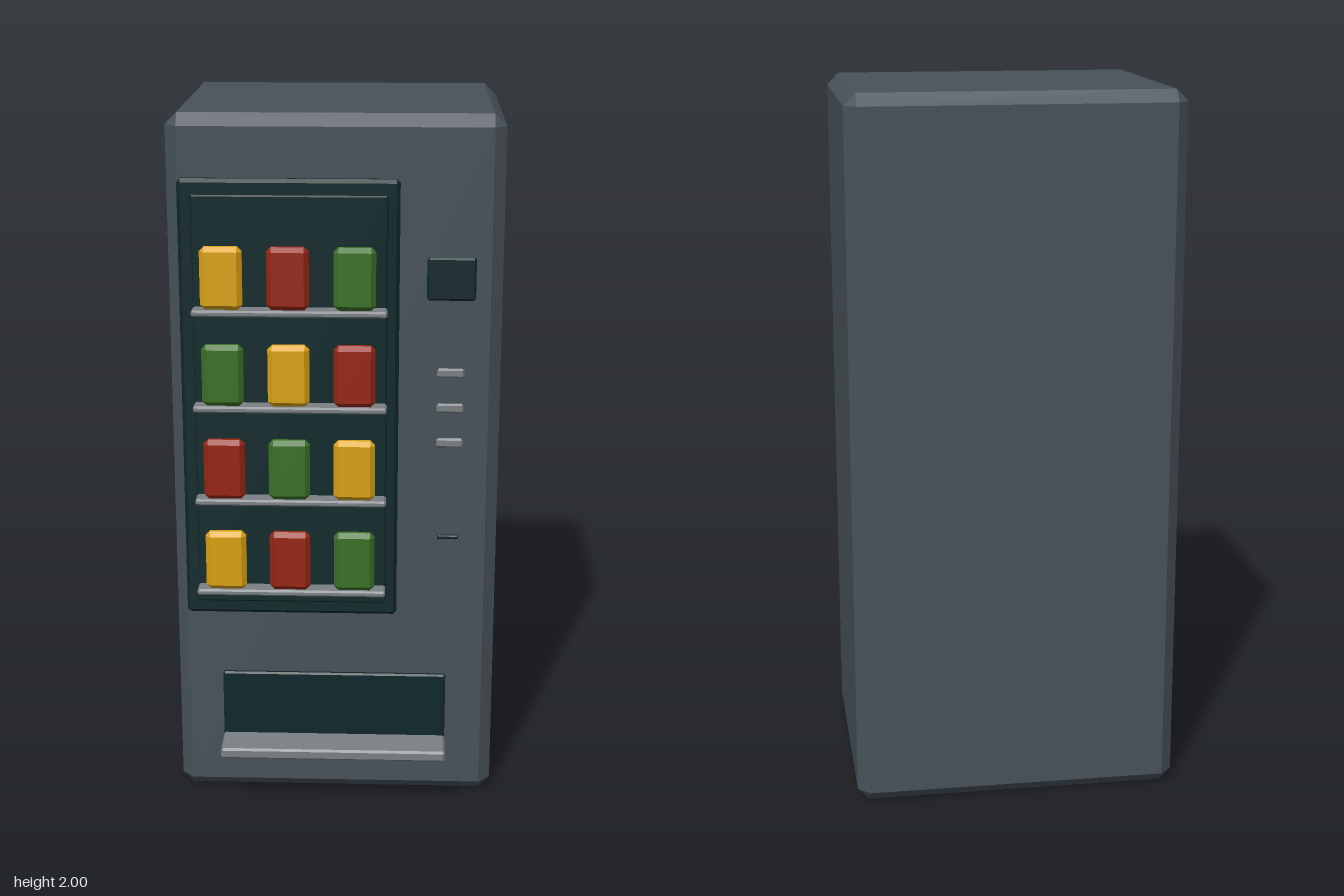
import * as THREE from 'three';
import { ConvexGeometry } from 'three/addons/geometries/ConvexGeometry.js';

const mat = (name, color) => {
  const m = new THREE.MeshStandardMaterial({ color });
  m.name = name;
  return m;
};

// Box with bevelled edges and corners, given by its extents
function bevelBox(name, material, [x0, x1], [y0, y1], [z0, z1], c) {
  const hx = (x1 - x0) / 2, hy = (y1 - y0) / 2, hz = (z1 - z0) / 2;
  const pts = [];
  for (const sx of [-1, 1]) for (const sy of [-1, 1]) for (const sz of [-1, 1]) {
    pts.push(
      new THREE.Vector3(sx * hx, sy * (hy - c), sz * (hz - c)),
      new THREE.Vector3(sx * (hx - c), sy * hy, sz * (hz - c)),
      new THREE.Vector3(sx * (hx - c), sy * (hy - c), sz * hz));
  }
  const mesh = new THREE.Mesh(new ConvexGeometry(pts), material);
  mesh.position.set((x0 + x1) / 2, (y0 + y1) / 2, (z0 + z1) / 2);
  mesh.name = name;
  return mesh;
}

export function createModel() {
  const body = mat('body grey', 0x48525a);
  const dark = mat('dark glass', 0x0f282b);
  const metal = mat('metal grey', 0x7b8084);
  const products = [
    mat('yellow', 0xd9a212), mat('red', 0x962512), mat('green', 0x3a7026)];

  const group = new THREE.Group();
  group.name = 'vendingMachine';
  const add = (...args) => group.add(bevelBox(...args));

  // Cabinet
  add('cabinet', body, [-0.458, 0.458], [0, 2], [-0.45, 0.307], 0.033);

  // Display window: frame and glass
  add('windowFrame', dark, [-0.424, 0.176], [0.58, 1.832], [0.311, 0.34], 0.01);
  add('windowGlass', dark, [-0.387, 0.144], [0.62, 1.79], [0.33, 0.348], 0.004);

  // Shelves with three products each
  for (let row = 0; row < 4; row++) {
    const y = 1.476 - row * 0.27;
    add('shelf', metal, [-0.387, 0.144], [y - 0.009, y + 0.009], [0.342, 0.398], 0.005);
    for (let col = 0; col < 3; col++) {
      const x = -0.304 + col * 0.18;
      add('product', products[(col - row + 6) % 3],
        [x - 0.057, x + 0.057], [y + 0.011, y + 0.183], [0.366, 0.403], 0.013);
    }
  }

  // Control panel: screen, buttons and coin slot
  add('screen', dark, [0.25, 0.383], [1.504, 1.623], [0.322, 0.341], 0.006);
  for (const y of [1.305, 1.205, 1.105]) {
    add('button', metal, [0.281, 0.355], [y - 0.013, y + 0.013], [0.343, 0.358], 0.005);
  }
  add('coinSlot', dark, [0.288, 0.348], [0.82, 0.831], [0.342, 0.354], 0.003);

  // Delivery opening and tray
  add('deliveryFlap', dark, [-0.325, 0.32], [0.19, 0.395], [0.326, 0.343], 0.005);
  add('deliveryTray', metal, [-0.325, 0.32], [0.17, 0.202], [0.333, 0.45], 0.006);

  return group;
}
